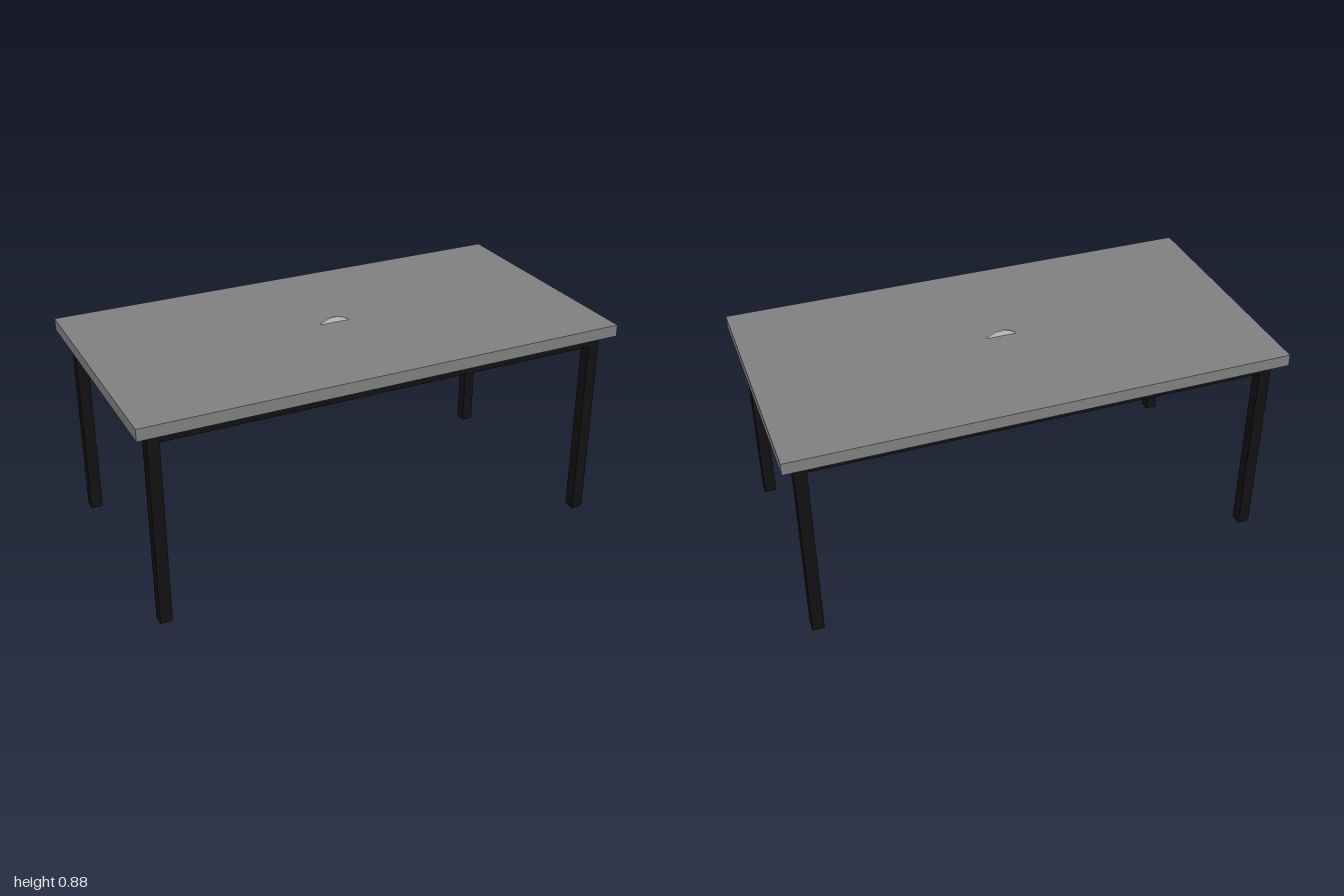
import * as THREE from 'three';

export function createModel() {
  const table = new THREE.Group();
  table.name = 'table';

  const topMat = new THREE.MeshStandardMaterial({ color: 0x808080 });
  const frameMat = new THREE.MeshStandardMaterial({ color: 0x111111 });
  const discMat = new THREE.MeshStandardMaterial({ color: 0xcccccc });

  const add = (name, geometry, material, x, y, z) => {
    const mesh = new THREE.Mesh(geometry, material);
    mesh.name = name;
    mesh.position.set(x, y, z);
    table.add(mesh);
    return mesh;
  };

  const bar = 0.048;                 // square tube width
  const topThick = 0.048, topY = 0.81;
  const legX = 0.9285, legZ = 0.4525; // leg centres

  // Table top
  add('tableTop', new THREE.BoxGeometry(2, topThick, 1.046), topMat, 0, topY + topThick / 2, 0);

  // Four legs
  const legGeo = new THREE.BoxGeometry(bar, topY, bar);
  for (const [sx, side] of [[1, 'Left'], [-1, 'Right']])
    for (const [sz, end] of [[1, 'front'], [-1, 'back']])
      add(`${end}${side}Leg`, legGeo, frameMat, sx * legX, topY / 2, sz * legZ);

  // Rails under the top, running between the legs
  const longRail = new THREE.BoxGeometry(2 * legX - bar, bar, bar);
  const shortRail = new THREE.BoxGeometry(bar, bar, 2 * legZ - bar);
  const railY = topY - bar / 2;
  add('frontRail', longRail, frameMat, 0, railY, legZ);
  add('backRail', longRail, frameMat, 0, railY, -legZ);
  add('leftRail', shortRail, frameMat, legX, railY, 0);
  add('rightRail', shortRail, frameMat, -legX, railY, 0);

  // Thin upright disc set through the middle of the top
  const disc = add('centreDisc', new THREE.CylinderGeometry(0.095, 0.095, 0.008, 48), discMat, 0, 0.786, 0);
  disc.rotation.x = Math.PI / 2;

  return table;
}
